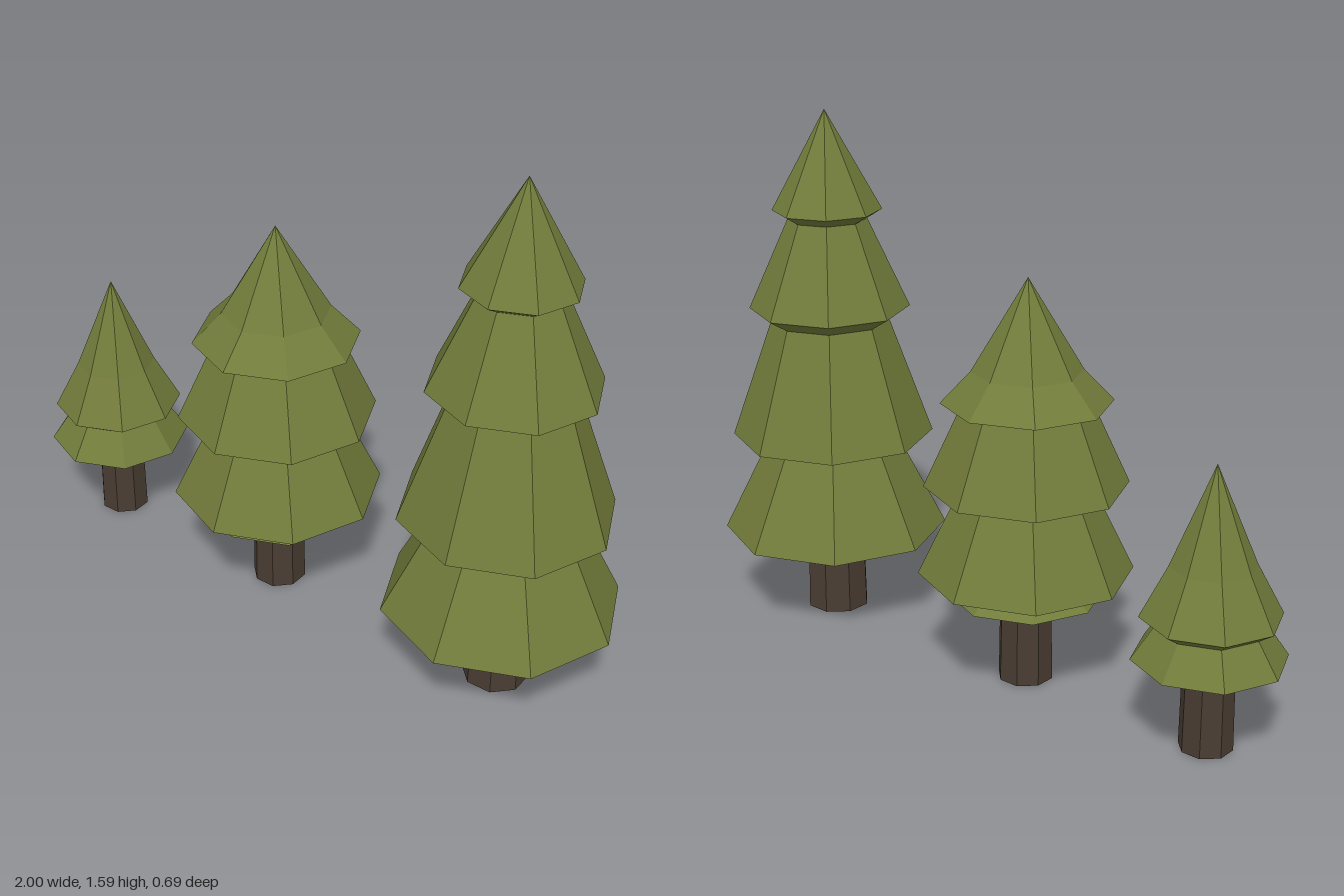
import * as THREE from 'three';

const SIDES = 8;
const GROUND_GAP = 0.27; // height where the foliage starts

const leafMaterial = new THREE.MeshStandardMaterial({ color: 0x727c3b, flatShading: true });
const barkMaterial = new THREE.MeshStandardMaterial({ color: 0x4a3d33, flatShading: true });

// Each foliage outline is [radius, height] from the lowest skirt up to the tip
const trees = [
  {
    name: 'smallTree', x: -0.783, trunk: 0.071, baseMaterial: leafMaterial,
    outline: [[0.217, 0.27], [0.152, 0.365], [0.197, 0.395], [0.12, 0.54], [0, 0.825]],
  },
  {
    name: 'mediumTree', x: -0.138, trunk: 0.076, baseMaterial: barkMaterial,
    outline: [
      [0.23, 0.27], [0.175, 0.318], [0.314, 0.337], [0.19, 0.595], [0.296, 0.605],
      [0.185, 0.848], [0.247, 0.853], [0.16, 0.945], [0, 1.213],
    ],
  },
  {
    name: 'tallTree', x: 0.653, trunk: 0.091, baseMaterial: barkMaterial,
    outline: [
      [0.347, 0.27], [0.2, 0.562], [0.31, 0.58], [0.18, 0.945], [0.245, 0.985],
      [0.12, 1.26], [0.166, 1.288], [0, 1.59],
    ],
  },
];

function makeTree({ name, x, trunk, baseMaterial, outline }) {
  const tree = new THREE.Group();
  tree.name = name;
  tree.position.x = x;

  // Tiered foliage with a closed underside
  const profile = [[0, GROUND_GAP], ...outline].map(([r, y]) => new THREE.Vector2(r, y));
  const foliage = new THREE.Mesh(new THREE.LatheGeometry(profile, SIDES), leafMaterial);
  foliage.name = 'foliage';

  // Slightly tapered trunk, turned so that a flat side faces forward
  const radius = trunk / Math.cos(Math.PI / SIDES);
  const height = GROUND_GAP + 0.01;
  const stem = new THREE.Mesh(
    new THREE.CylinderGeometry(radius * 0.95, radius, height, SIDES),
    [barkMaterial, barkMaterial, baseMaterial],
  );
  stem.name = 'trunk';
  stem.position.y = height / 2;
  stem.rotation.y = Math.PI / SIDES;

  tree.add(foliage, stem);
  return tree;
}

export function createModel() {
  const group = new THREE.Group();
  group.name = 'pineTrees';
  for (const spec of trees) group.add(makeTree(spec));
  return group;
}
